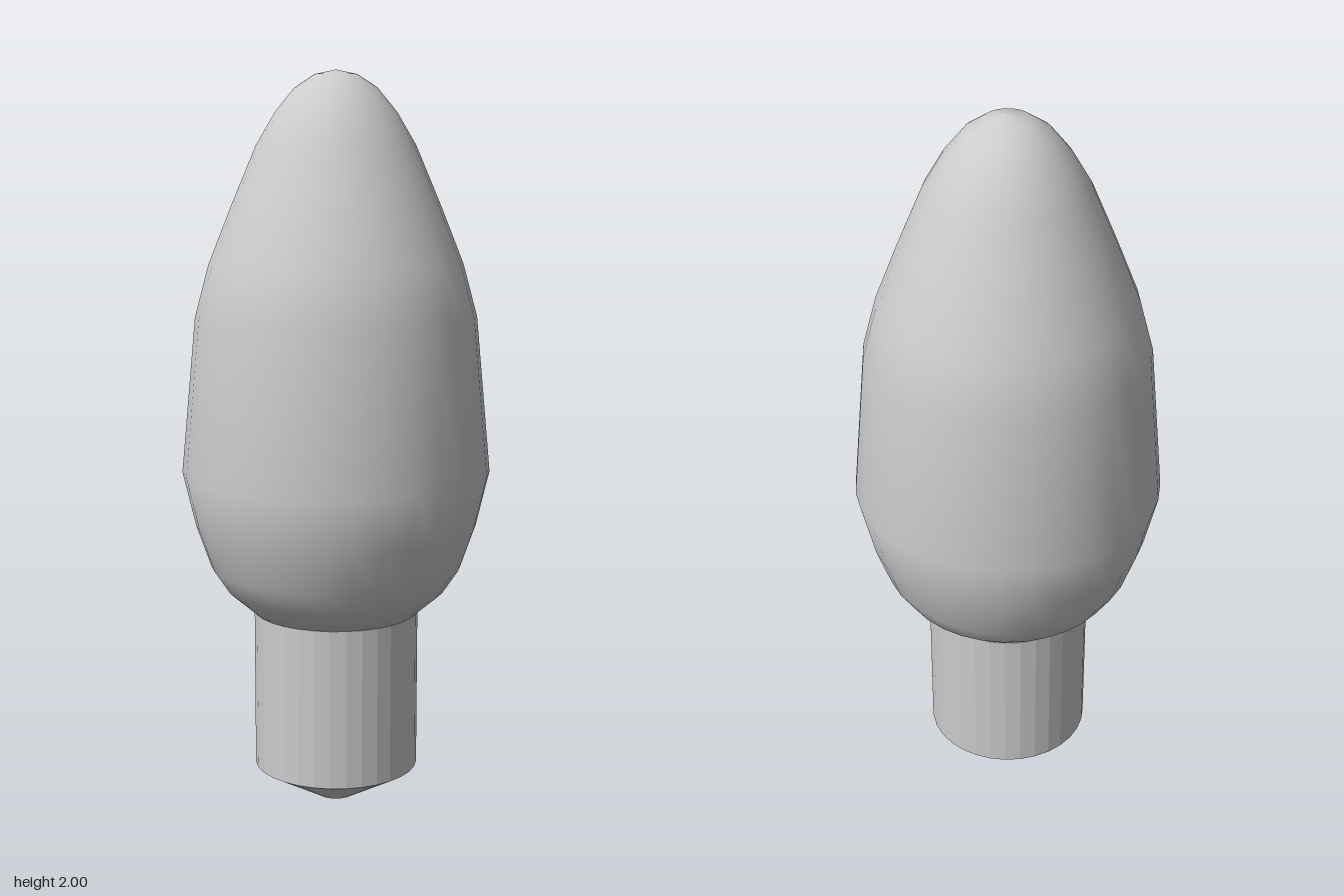
import * as THREE from 'three';

const SIDES = 32;

// Revolve a bottom-to-top list of [radius, height] points around y
function revolve(name, profile, material) {
  const points = profile.map(([r, y]) => new THREE.Vector2(r, y));
  const mesh = new THREE.Mesh(new THREE.LatheGeometry(points, SIDES), material);
  mesh.name = name;
  return mesh;
}

export function createModel() {
  const group = new THREE.Group();
  group.name = 'lightBulb';
  const smooth = new THREE.MeshStandardMaterial({ color: 0xcccccc });
  const faceted = new THREE.MeshStandardMaterial({ color: 0xcccccc, flatShading: true });

  // Candle-shaped glass, widest just below the middle
  group.add(revolve('glass', [
    [0, 0.54], [0.225, 0.54], [0.3, 0.605], [0.343, 0.67], [0.383, 0.785], [0.418, 0.935],
    [0.378, 1.355], [0.34, 1.495], [0.278, 1.65], [0.212, 1.805], [0.162, 1.89],
    [0.11, 1.953], [0.057, 1.988], [0, 2],
  ], smooth));

  // Straight socket sleeve
  const sleeve = new THREE.Mesh(new THREE.CylinderGeometry(0.226, 0.226, 0.44, SIDES), faceted);
  sleeve.name = 'socketSleeve';
  sleeve.position.y = 0.32;
  group.add(sleeve);

  // Tapered contact tip
  const tip = new THREE.Mesh(new THREE.CylinderGeometry(0.226, 0.05, 0.1, SIDES), faceted);
  tip.name = 'contactTip';
  tip.position.y = 0.05;
  group.add(tip);

  return group;
}
